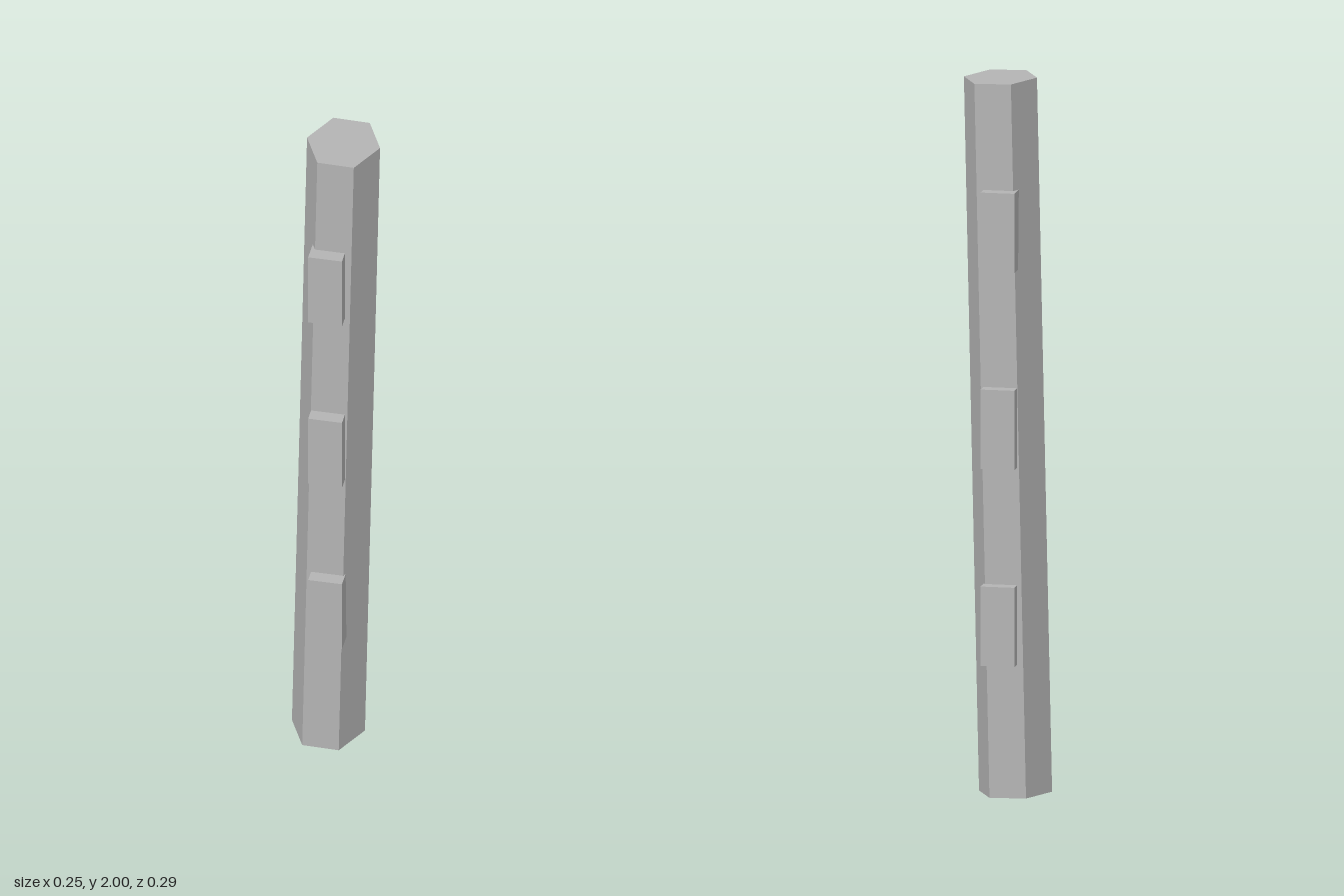
import * as THREE from 'three';

export function createModel() {
  const group = new THREE.Group();
  const gray = new THREE.MeshStandardMaterial({ color: 0xb4b4b4, flatShading: true });
  gray.name = 'gray';

  // Hexagonal shaft, corners on the x axis, slightly deeper than wide, leaning toward +x
  const shaftGeometry = new THREE.CylinderGeometry(1, 1, 1.996, 6, 1, false, Math.PI / 2);
  shaftGeometry.scale(0.1025, 1, 0.1225);
  const shaft = new THREE.Mesh(shaftGeometry, gray);
  shaft.name = 'shaft';
  shaft.rotation.z = -0.0212;
  shaft.position.y = 1;
  group.add(shaft);

  // Three upright tabs on the front and three on the back
  const tabGeometry = new THREE.BoxGeometry(0.095, 0.222, 0.075);
  for (const y of [0.488, 1.039, 1.59]) {
    for (const side of [1, -1]) {
      const tab = new THREE.Mesh(tabGeometry, gray);
      tab.name = side > 0 ? 'frontTab' : 'backTab';
      tab.position.set(0, y, side * 0.1075);
      group.add(tab);
    }
  }
  return group;
}
